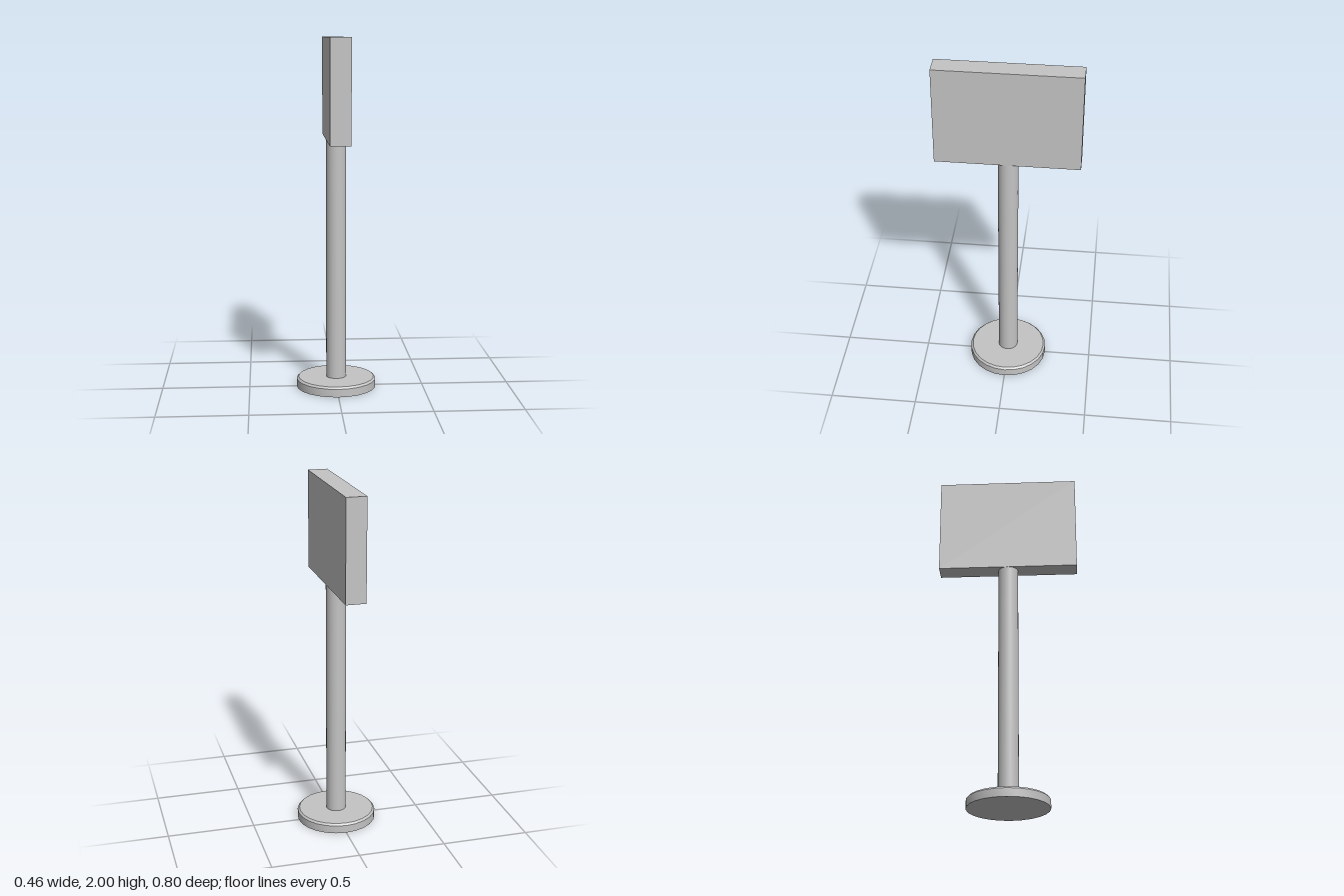
import * as THREE from 'three';
import { toCreasedNormals } from 'three/addons/utils/BufferGeometryUtils.js';

export function createModel() {
  const model = new THREE.Group();
  model.name = 'signPost';
  const grey = new THREE.MeshStandardMaterial({ color: 0xc4c4c4 });
  grey.name = 'light grey';

  const SIDES = 24;
  const BASE_TOP = 0.057;
  const BOARD_BOTTOM = 1.43;

  const add = (name, geometry, y = 0) => {
    const mesh = new THREE.Mesh(geometry, grey);
    mesh.name = name;
    mesh.position.y = y;
    model.add(mesh);
  };

  // Round foot with a chamfered upper rim
  const profile = [[0, 0], [0.228, 0], [0.228, 0.046], [0.217, BASE_TOP], [0, BASE_TOP]]
    .map(([r, y]) => new THREE.Vector2(r, y));
  add('base', toCreasedNormals(new THREE.LatheGeometry(profile, SIDES), Math.PI / 6));

  // Smooth round pole, open where it meets the foot and the board
  const poleHeight = BOARD_BOTTOM - BASE_TOP;
  add('pole', new THREE.CylinderGeometry(0.057, 0.057, poleHeight, SIDES, 1, true),
    BASE_TOP + poleHeight / 2);

  // Thick rectangular board, its broad faces turned to either side
  const boardHeight = 2 - BOARD_BOTTOM;
  add('board', new THREE.BoxGeometry(0.114, boardHeight, 0.8), BOARD_BOTTOM + boardHeight / 2);

  return model;
}
